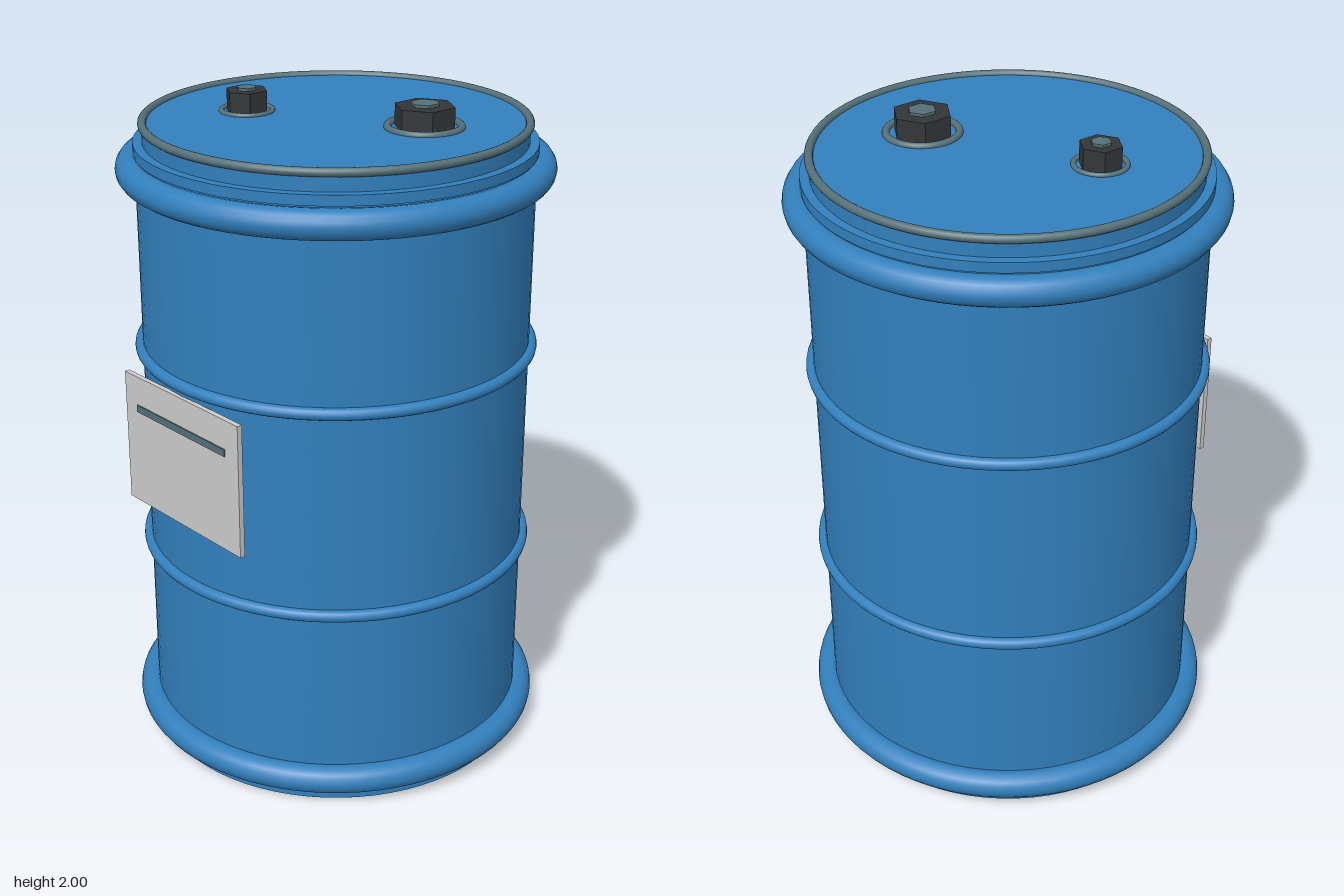
import * as THREE from 'three';

const material = (color) => new THREE.MeshStandardMaterial({ color });

export function createModel() {
  const drum = new THREE.Group();
  drum.name = 'drum';
  const blue = material(0x3280bd);
  const steel = material(0x557078);
  const dark = material(0x333638);
  const paper = material(0xcccccc);

  function add(name, geometry, mat, x, y, z, parent = drum) {
    const mesh = new THREE.Mesh(geometry, mat);
    mesh.name = name;
    mesh.position.set(x, y, z);
    parent.add(mesh);
    return mesh;
  }
  const cylinder = (r, h) => new THREE.CylinderGeometry(r, r, h, 72);
  const ring = (r, tube) => new THREE.TorusGeometry(r, tube, 16, 72).rotateX(Math.PI / 2);
  // Six-sided prism with crisp facets, corners pointing along z
  const hexPrism = (r, h) => new THREE.CylinderGeometry(r, r, h, 6).toNonIndexed();

  // Shell and stepped lid
  add('body', cylinder(0.578, 1.85), blue, 0, 0.925, 0);
  add('shoulder', cylinder(0.582, 0.03), blue, 0, 1.863, 0);
  add('lid', cylinder(0.555, 0.055), blue, 0, 1.9025, 0);
  add('lidRim', ring(0.553, 0.0125), steel, 0, 1.93, 0);

  // Thick end hoops and thin rolling hoops
  for (const y of [0.08, 1.803]) add('endHoop', ring(0.592, 0.043), blue, 0, y, 0);
  for (const y of [0.633, 1.264]) add('rollingHoop', ring(0.583, 0.018), blue, 0, y, 0);

  // Screw plugs: collar, hexagonal head and a small hexagonal key on top
  function plug(name, x, z, s, top) {
    const group = new THREE.Group();
    group.name = name;
    group.position.set(x, 0, z);
    drum.add(group);
    add('collar', ring(0.105 * s, 0.011 * s), steel, 0, 1.932, 0, group);
    const head = top - 0.008;
    add('head', hexPrism(0.088 * s, head - 1.925), dark, 0, (head + 1.925) / 2, 0, group);
    add('key', hexPrism(0.042 * s, 0.016), steel, 0, top - 0.008, 0, group);
  }
  plug('largePlug', 0.237, -0.122, 1, 2.0);
  plug('smallPlug', -0.24, 0.133, 0.71, 2.0);

  // Flat plate on the front with a printed bar
  add('labelPlate', new THREE.BoxGeometry(0.525, 0.405, 0.016), paper, 0, 1.027, 0.582);
  add('labelBar', new THREE.BoxGeometry(0.41, 0.022, 0.008), steel, 0, 1.13, 0.59);

  // Facet the hexagonal parts
  drum.traverse((o) => {
    if (o.name === 'head' || o.name === 'key') o.geometry.computeVertexNormals();
  });
  return drum;
}
